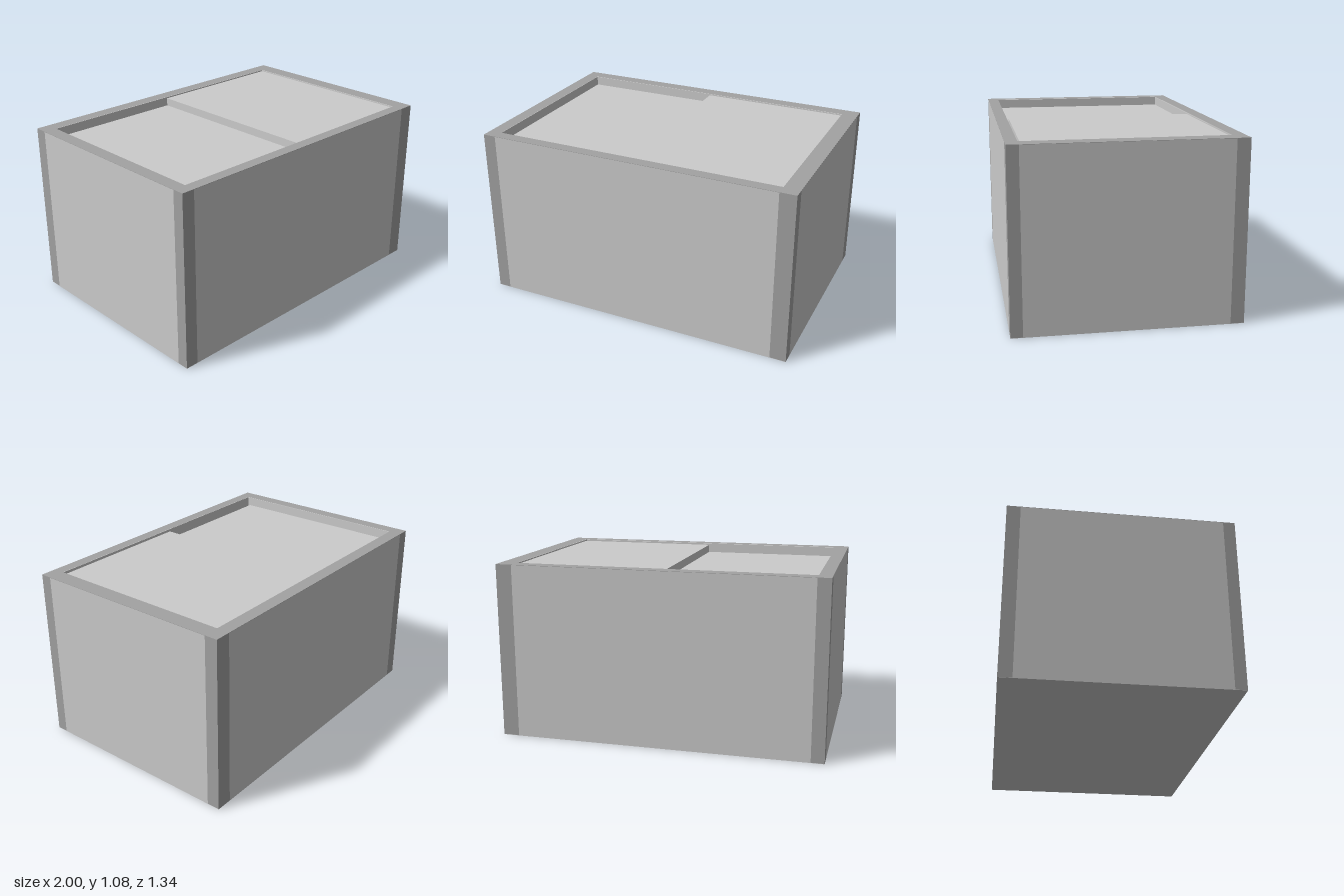
import * as THREE from 'three';

export function createModel() {
  const group = new THREE.Group();
  const light = new THREE.MeshStandardMaterial({ color: 0xcccccc });
  const dark = new THREE.MeshStandardMaterial({ color: 0xa2a2a2 });

  // Outer and inner outlines, [min, max] per axis
  const X = [-1, 1], Z = [-0.67, 0.67];
  const ix = [-0.92, 0.9], iz = [-0.59, 0.6];
  const H = 1.08, skin = 0.002;
  const body = [skin, H - skin];

  // Box between ranges on each axis
  function slab(name, x, y, z, material) {
    const mesh = new THREE.Mesh(
      new THREE.BoxGeometry(x[1] - x[0], y[1] - y[0], z[1] - z[0]), material);
    mesh.position.set((x[0] + x[1]) / 2, (y[0] + y[1]) / 2, (z[0] + z[1]) / 2);
    mesh.name = name;
    group.add(mesh);
  }

  // Bottom plate and inner floor
  slab('bottomPlate', X, [0, skin], Z, light);
  slab('floor', ix, [skin, 0.08], iz, light);

  // Walls between the corner posts
  slab('frontWall', ix, body, [iz[1], Z[1]], light);
  slab('backWall', ix, body, [Z[0], iz[0]], light);
  slab('leftWall', [ix[1], X[1]], body, iz, light);
  slab('rightWall', [X[0], ix[0]], body, iz, light);

  // Darker corner posts, flush with the walls
  for (const x of [[X[0], ix[0]], [ix[1], X[1]]])
    for (const z of [[Z[0], iz[0]], [iz[1], Z[1]]])
      slab('cornerPost', x, body, z, dark);

  // Darker rim capping the walls
  const rect = (path, x, z) => path.moveTo(x[0], -z[0]).lineTo(x[1], -z[0])
    .lineTo(x[1], -z[1]).lineTo(x[0], -z[1]).closePath();
  const outline = rect(new THREE.Shape(), X, Z);
  outline.holes.push(rect(new THREE.Path(), ix, iz));
  const rim = new THREE.Mesh(
    new THREE.ExtrudeGeometry(outline, { depth: skin, bevelEnabled: false }), dark);
  rim.rotation.x = -Math.PI / 2;
  rim.position.y = H - skin;
  rim.name = 'rim';
  group.add(rim);

  // Two sliding lids at different heights, with a narrow gap at the front
  const lidZ = [iz[0], 0.585];
  slab('upperLid', [-0.03, ix[1]], [1.02, 1.07], lidZ, light);
  slab('lowerLid', [ix[0], 0], [0.97, 1.02], lidZ, light);

  return group;
}
